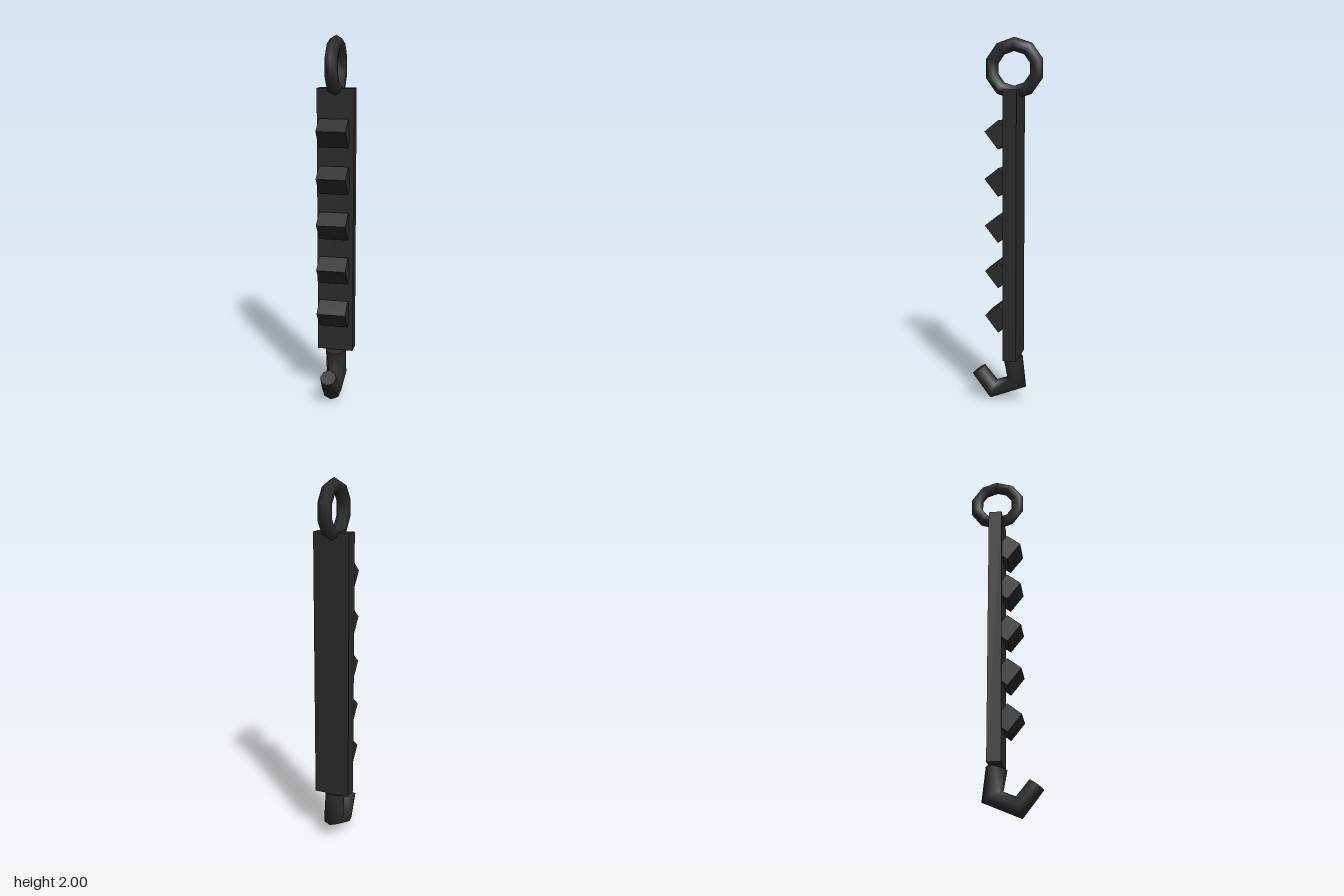
import * as THREE from 'three';

const black = new THREE.MeshStandardMaterial({ color: 0x2b2b2b });
black.name = 'blackMetal';

function add(group, name, geometry, x = 0, y = 0, z = 0) {
  const mesh = new THREE.Mesh(geometry, black);
  mesh.name = name;
  mesh.position.set(x, y, z);
  group.add(mesh);
  return mesh;
}

// Bent rod: each ring spans from an inner to an outer [z, y] point, with half width w in x
function bentRod(rings, sides) {
  const pos = [], idx = [];
  const pushRing = ({ inner, outer, w }) => {
    const start = pos.length / 3;
    for (let j = 0; j < sides; j++) {
      const a = (j / sides) * Math.PI * 2;
      const t = 0.5 + Math.cos(a) / 2;
      pos.push(
        Math.sin(a) * w,
        THREE.MathUtils.lerp(inner[1], outer[1], t),
        THREE.MathUtils.lerp(inner[0], outer[0], t)
      );
    }
    return start;
  };
  const starts = rings.map(pushRing);
  for (let i = 0; i < rings.length - 1; i++) {
    for (let j = 0; j < sides; j++) {
      const k = (j + 1) % sides;
      const a = starts[i] + j, b = starts[i] + k;
      const c = starts[i + 1] + k, d = starts[i + 1] + j;
      idx.push(a, b, d, b, c, d);
    }
  }
  // End caps with their own corners, so the rims stay sharp
  const first = pushRing(rings[0]);
  const last = pushRing(rings[rings.length - 1]);
  for (let j = 1; j < sides - 1; j++) {
    idx.push(first, first + j + 1, first + j);
    idx.push(last, last + j, last + j + 1);
  }
  const g = new THREE.BufferGeometry();
  g.setAttribute('position', new THREE.Float32BufferAttribute(pos, 3));
  g.setIndex(idx);
  g.computeVertexNormals();
  return g;
}

export function createModel() {
  const model = new THREE.Group();
  model.name = 'toothedHook';

  // Long flat bar
  add(model, 'bar', new THREE.BoxGeometry(0.2, 1.465, 0.074), -0.002, 0.997, -0.039);

  // Five tilted block teeth along the front
  const toothGeometry = new THREE.BoxGeometry(0.16, 0.096, 0.118);
  for (let i = 0; i < 5; i++) {
    const tooth = add(model, 'tooth' + (i + 1), toothGeometry, -0.005, 0.493 + i * 0.251, 0.0275);
    tooth.rotation.x = -0.9;
  }

  // Ring at the top, standing in the side plane with a vertex upwards
  const ring = new THREE.TorusGeometry(0.125, 0.036, 6, 10);
  ring.rotateZ(Math.PI / 10).rotateY(Math.PI / 2);
  add(model, 'ring', ring, -0.005, 1.839, -0.04);

  // Hook at the bottom
  add(model, 'hook', bentRod([
    { inner: [0.018, 0.242], outer: [-0.092, 0.264], w: 0.058 },
    { inner: [-0.002, 0.135], outer: [-0.112, 0.085], w: 0.058 },
    { inner: [0.06, 0.112], outer: [0.092, 0], w: 0.056 },
    { inner: [0.126, 0.192], outer: [0.2, 0.138], w: 0.045 },
  ], 8), -0.006);

  return model;
}
